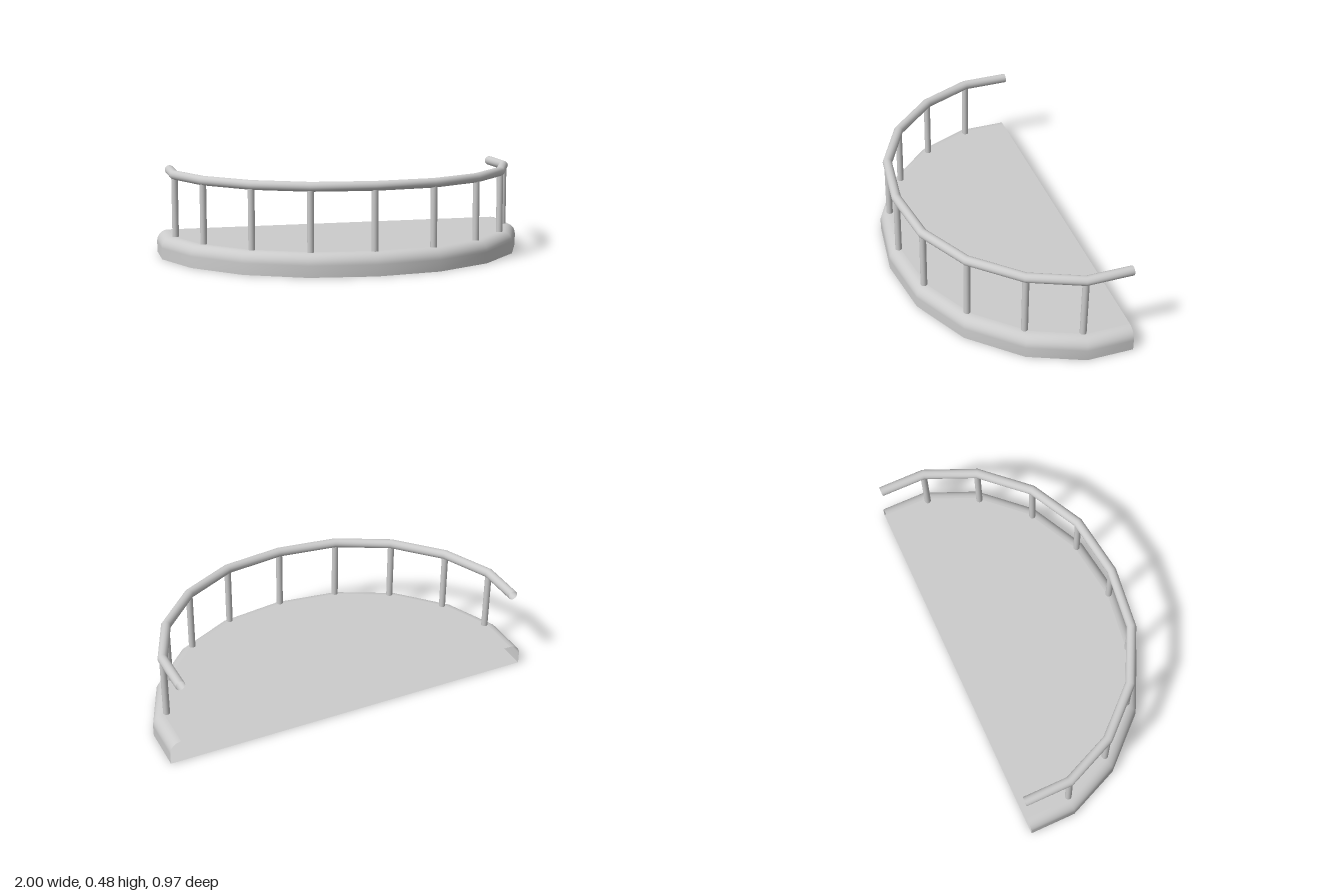
import * as THREE from 'three';

const BACK = -0.487, HEIGHT = 0.12, FILLET = 0.06;
const RAIL_Y = 0.452, RAIL_R = 0.025, POST_R = 0.0175;

// Right half of a plan outline [x, z], mirrored into a full path from +x round the front to -x
const mirrorPath = (half) => [...half, ...half.slice(0, -1).reverse().map(([x, z]) => [-x, z])];

// Moves a path inward by d, with mitred corners
function inset(path, d) {
  const normals = path.slice(1).map(([x, z], i) => {
    const dx = x - path[i][0], dz = z - path[i][1], len = Math.hypot(dx, dz);
    return [-dz / len, dx / len];
  });
  return path.map(([x, z], i) => {
    const a = normals[Math.max(i - 1, 0)], b = normals[Math.min(i, normals.length - 1)];
    const k = d / (1 + a[0] * b[0] + a[1] * b[1]);
    return [x + k * (a[0] + b[0]), z + k * (a[1] + b[1])];
  });
}

// Sweeps a profile of [inset, y] points along a path
function sweep(path, profile, closed) {
  const n = path.length, rows = profile.length, pos = [], index = [];
  for (const [d, y] of profile) for (const [x, z] of inset(path, d)) pos.push(x, y, z);
  for (let j = 0; j < (closed ? rows : rows - 1); j++) {
    for (let i = 0; i < n - 1; i++) {
      const a = j * n + i, b = ((j + 1) % rows) * n + i;
      index.push(a, b, a + 1, b, b + 1, a + 1);
    }
  }
  const geo = new THREE.BufferGeometry();
  geo.setAttribute('position', new THREE.Float32BufferAttribute(pos, 3));
  geo.setIndex(index);
  geo.computeVertexNormals();
  return geo;
}

// Flat plate filling a path, facing up (1) or down (-1)
function plate(path, y, facing) {
  const shape = new THREE.Shape(path.map(([x, z]) => new THREE.Vector2(x, -facing * z)));
  return new THREE.ShapeGeometry(shape).rotateX(-facing * Math.PI / 2).translate(0, y, 0);
}

export function createModel() {
  const group = new THREE.Group();
  const material = new THREE.MeshStandardMaterial({ color: 0xcccccc, side: THREE.DoubleSide });
  const add = (name, geometry, parent = group) => {
    const mesh = new THREE.Mesh(geometry, material);
    mesh.name = name;
    parent.add(mesh);
    return mesh;
  };

  // Balcony floor: a hollow slab with a rounded upper edge, open at the back
  const outline = mirrorPath([[1, BACK], [1, -0.24], [0.88, 0.04], [0.65, 0.285], [0.345, 0.44], [0, 0.487]]);
  const edge = [[0, 0]];
  for (let i = 0; i <= 8; i++) {
    const t = (i / 8) * Math.PI / 2;
    edge.push([FILLET * (1 - Math.cos(t)), HEIGHT - FILLET + FILLET * Math.sin(t)]);
  }
  const floor = new THREE.Group();
  floor.name = 'floor';
  group.add(floor);
  add('floorEdge', sweep(outline, edge, false), floor);
  add('floorTop', plate(inset(outline, FILLET), HEIGHT, 1), floor);
  add('floorUnderside', plate(outline, 0, -1), floor);

  // Handrail: an open-ended pipe bent at each post
  const railPath = mirrorPath([[0.925, BACK], [0.925, -0.243], [0.81, 0.022], [0.597, 0.25], [0.322, 0.392], [0, 0.434]]);
  const circle = Array.from({ length: 16 }, (_, i) => {
    const t = (i / 16) * Math.PI * 2;
    return [-RAIL_R * Math.cos(t), RAIL_Y + RAIL_R * Math.sin(t)];
  });
  add('handrail', sweep(railPath, circle, true));

  // Posts: one under each bend of the handrail
  const posts = new THREE.Group();
  posts.name = 'posts';
  group.add(posts);
  const postHeight = RAIL_Y - 0.018 - HEIGHT;
  const postGeometry = new THREE.CylinderGeometry(POST_R, POST_R, postHeight, 16, 1, true);
  for (const [x, z] of railPath.slice(1, -1)) {
    add('post', postGeometry, posts).position.set(x, HEIGHT + postHeight / 2, z);
  }
  return group;
}
